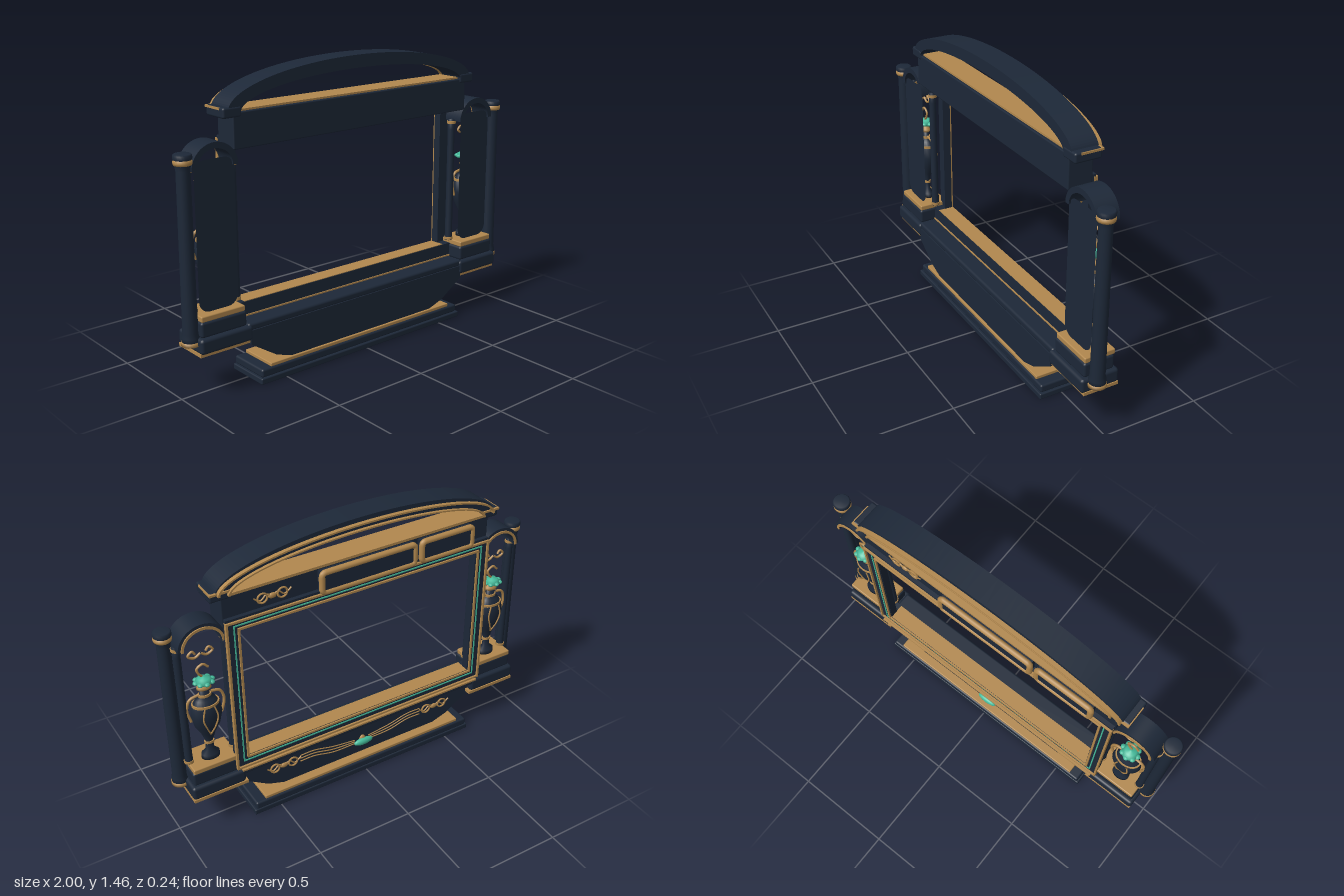
import * as THREE from 'three';
import { RoundedBoxGeometry } from 'three/addons/geometries/RoundedBoxGeometry.js';

const navy = new THREE.MeshStandardMaterial({ color: 0x1d2838 });
navy.name = 'navy';
const gold = new THREE.MeshStandardMaterial({ color: 0xb2884e });
gold.name = 'gold';
const teal = new THREE.MeshStandardMaterial({ color: 0x45bb9b });
teal.name = 'teal';

const V = (x, y, z) => new THREE.Vector3(x, y, z);

function add(parent, name, geo, mat, x = 0, y = 0, z = 0) {
  const mesh = new THREE.Mesh(geo, mat);
  mesh.name = name;
  mesh.position.set(x, y, z);
  parent.add(mesh);
  return mesh;
}

// Box from its limits, with optional rounded edges
function box(parent, name, mat, x0, x1, y0, y1, z0, z1, r = 0) {
  const size = [x1 - x0, y1 - y0, z1 - z0];
  const geo = r ? new RoundedBoxGeometry(...size, 2, r) : new THREE.BoxGeometry(...size);
  return add(parent, name, geo, mat, (x0 + x1) / 2, (y0 + y1) / 2, (z0 + z1) / 2);
}

function roundedRect(path, x0, x1, y0, y1, r) {
  path.moveTo(x0 + r, y0);
  path.lineTo(x1 - r, y0);
  path.absarc(x1 - r, y0 + r, r, -Math.PI / 2, 0);
  path.absarc(x1 - r, y1 - r, r, 0, Math.PI / 2);
  path.absarc(x0 + r, y1 - r, r, Math.PI / 2, Math.PI);
  path.absarc(x0 + r, y0 + r, r, Math.PI, Math.PI * 1.5);
  return path;
}

function extrude(parent, name, mat, shape, z0, z1) {
  const geo = new THREE.ExtrudeGeometry(shape, { depth: z1 - z0, bevelEnabled: false, curveSegments: 32 });
  return add(parent, name, geo, mat, 0, 0, z0);
}

// Rectangular ring of width w
function ring(parent, name, mat, x0, x1, y0, y1, w, z0, z1) {
  const s = roundedRect(new THREE.Shape(), x0, x1, y0, y1, 0.001);
  s.holes.push(roundedRect(new THREE.Path(), x0 + w, x1 - w, y0 + w, y1 - w, 0.001));
  extrude(parent, name, mat, s, z0, z1);
}

// Half-elliptical band between two ellipses
function band(parent, name, mat, cx, outer, inner, z0, z1) {
  const s = new THREE.Shape();
  s.absellipse(cx, outer[2], outer[0], outer[1], 0, Math.PI, false);
  s.lineTo(cx - inner[0], inner[2]);
  s.absellipse(cx, inner[2], inner[0], inner[1], Math.PI, 0, true);
  extrude(parent, name, mat, s, z0, z1);
}

function tube(parent, name, points, r = 0.004, closed = false) {
  const curve = new THREE.CatmullRomCurve3(points, closed, 'centripetal');
  add(parent, name, new THREE.TubeGeometry(curve, closed ? 160 : 24, r, closed ? 10 : 6, closed), gold);
}

// Turned part; depth flattens it front to back
function lathe(parent, name, mat, pts, x, z, depth = 1) {
  const geo = new THREE.LatheGeometry(pts.map(p => new THREE.Vector2(p[0], p[1])), 24);
  add(parent, name, geo, mat, x, 0, z).scale.z = depth;
}

// Knot of two loops and tendrils
function knot(parent, x, y, z) {
  for (const s of [-1, 1]) {
    add(parent, 'knotLoop', new THREE.TorusGeometry(0.024, 0.005, 6, 18), gold, x + s * 0.05, y, z);
    tube(parent, 'knotTendril', [V(x, y, z), V(x + s * 0.03, y + 0.012, z), V(x + s * 0.06, y - 0.01, z), V(x + s * 0.095, y + 0.012, z)]);
  }
  add(parent, 'knotBud', new THREE.SphereGeometry(0.014, 10, 8), gold, x, y, z).scale.set(1.6, 1, 0.6);
}

function sideNiche(s) {
  const g = new THREE.Group();
  g.name = s > 0 ? 'leftNiche' : 'rightNiche';
  const sbox = (name, mat, x0, x1, ...rest) => box(g, name, mat, Math.min(s * x0, s * x1), Math.max(s * x0, s * x1), ...rest);
  const cx = s * 0.81;

  // Stepped pedestal
  sbox('pedestalSole', gold, 0.66, 0.943, 0.212, 0.228, -0.097, 0.085);
  sbox('pedestalBase', navy, 0.67, 0.945, 0.226, 0.298, -0.098, 0.1, 0.015);
  sbox('pedestalBlock', navy, 0.69, 0.93, 0.296, 0.37, -0.08, 0.08, 0.012);
  sbox('pedestalCap', gold, 0.695, 0.925, 0.368, 0.396, -0.085, 0.075, 0.006);

  // Outer column
  const X = s * 0.957, Z = 0.028;
  lathe(g, 'column', navy, [[0, 0.265], [0.04, 0.265], [0.04, 0.3], [0.035, 0.32], [0.031, 1.05], [0.036, 1.08], [0.04, 1.1], [0.042, 1.105], [0.042, 1.12], [0.036, 1.126], [0, 1.126]], X, Z);
  lathe(g, 'columnFootRing', gold, [[0, 0.262], [0.043, 0.262], [0.043, 0.28], [0.03, 0.284]], X, Z);
  lathe(g, 'columnTopRing', gold, [[0.03, 1.074], [0.04, 1.078], [0.043, 1.088], [0.04, 1.102], [0.03, 1.104]], X, Z);

  // Slim inner columns
  for (const x of [0.688, 0.917]) {
    lathe(g, 'slimColumn', navy, [[0.022, 0.395], [0.019, 0.43], [0.018, 1.0], [0.02, 1.055], [0, 1.055]], s * x, -0.01);
    for (const y of [0.405, 1.038]) add(g, 'slimColumnRing', new THREE.CylinderGeometry(0.024, 0.024, 0.014, 20), gold, s * x, y, -0.01);
  }

  // Front-facing panel and arched hood
  const panel = roundedRect(new THREE.Shape(), cx - 0.103, cx + 0.103, 0.398, 1.085, 0.055);
  add(g, 'panel', new THREE.ShapeGeometry(panel, 12), navy, 0, 0, 0.04);
  band(g, 'hood', navy, cx, [0.118, 0.113, 1.045], [0.092, 0.085, 1.045], -0.062, 0.05);
  band(g, 'hoodTrim', gold, cx, [0.104, 0.098, 1.045], [0.092, 0.086, 1.045], -0.068, -0.062);

  // Round-bodied vase, flattened to fit the niche
  const vz = -0.02, flat = 0.72;
  lathe(g, 'vase', navy, [[0, 0.396], [0.045, 0.396], [0.045, 0.42], [0.022, 0.44], [0.018, 0.49], [0.035, 0.54], [0.062, 0.59], [0.076, 0.65], [0.07, 0.7], [0.048, 0.738], [0.025, 0.755], [0.024, 0.79], [0, 0.79]], cx, vz, flat);
  for (const [y, r] of [[0.485, 0.025], [0.712, 0.067], [0.758, 0.032]])
    add(g, 'vaseBand', new THREE.CylinderGeometry(r, r, 0.012, 20), gold, cx, y, vz).scale.z = flat;
  lathe(g, 'vaseNeck', gold, [[0.02, 0.785], [0.036, 0.795], [0.034, 0.805], [0.02, 0.825], [0, 0.828]], cx, vz, flat);

  // Teal blossom of pointed petals
  lathe(g, 'blossomCup', teal, [[0, 0.818], [0.024, 0.822], [0.044, 0.84], [0.025, 0.855], [0, 0.862]], cx, vz - 0.008);
  for (let i = 0; i < 8; i++) {
    const a = i * Math.PI / 4;
    const petal = add(g, 'blossomPetal', new THREE.SphereGeometry(0.014, 8, 6), teal, cx + Math.cos(a) * 0.04, 0.838, vz - 0.008 + Math.sin(a) * 0.036);
    petal.scale.set(1, 0.7, 1);
  }
  for (const t of [-1, 1]) {
    tube(g, 'vaseHandle', [V(cx + t * 0.03, 0.765, vz), V(cx + t * 0.075, 0.752, vz), V(cx + t * 0.093, 0.7, vz), V(cx + t * 0.077, 0.63, vz)], 0.007);
    tube(g, 'vaseRib', [V(cx, 0.545, vz - 0.03), V(cx + t * 0.022, 0.6, vz - 0.047), V(cx + t * 0.036, 0.65, vz - 0.05), V(cx + t * 0.024, 0.71, vz - 0.047)]);
    tube(g, 'hangingScroll', [V(cx, 0.985, vz), V(cx + t * 0.03, 0.968, vz), V(cx + t * 0.06, 0.985, vz), V(cx + t * 0.04, 1.005, vz), V(cx + t * 0.026, 0.988, vz)], 0.006);
  }
  tube(g, 'finialHook', [V(cx, 0.855, vz), V(cx + 0.02, 0.88, vz), V(cx + 0.025, 0.905, vz), V(cx - 0.005, 0.922, vz), V(cx - 0.03, 0.9, vz)], 0.006);
  return g;
}

export function createModel() {
  const model = new THREE.Group();
  model.name = 'ornateFrame';

  // Plinth
  box(model, 'plinthFoot', navy, -0.645, 0.645, 0, 0.03, -0.115, 0.12, 0.006);
  box(model, 'plinthStep', navy, -0.635, 0.635, 0.028, 0.069, -0.113, 0.11, 0.01);
  box(model, 'plinthTrim', gold, -0.58, 0.58, 0.068, 0.086, -0.105, 0.103, 0.004);

  // Tapered apron
  const apron = new THREE.Shape([[-0.45, 0.085], [0.45, 0.085], [0.54, 0.115], [0.68, 0.205], [0.68, 0.272], [-0.68, 0.272], [-0.68, 0.205], [-0.54, 0.115]].map(p => new THREE.Vector2(...p)));
  extrude(model, 'apron', navy, apron, -0.06, 0.093);

  // Apron garland and gem
  const az = -0.064;
  for (const s of [-1, 1]) {
    knot(model, s * 0.45, 0.2, az);
    for (const d of [-0.018, 0, 0.018])
      tube(model, 'garlandStrand', [V(s * 0.36, 0.2 + d, az), V(s * 0.28, 0.2 + d, az), V(s * 0.17, 0.175 + d, az), V(s * 0.04, 0.165 + d * 0.6, az)], 0.003);
  }
  add(model, 'gemMount', new THREE.SphereGeometry(1, 16, 10), gold, 0, 0.168, -0.072).scale.set(0.02, 0.034, 0.012);
  add(model, 'apronGem', new THREE.SphereGeometry(1, 20, 12), teal, 0, 0.168, -0.082).scale.set(0.055, 0.02, 0.016);

  // Ledge and bottom rail below the opening
  box(model, 'ledge', navy, -0.69, 0.69, 0.268, 0.304, -0.095, 0.09, 0.012);
  box(model, 'ledgeTrim', gold, -0.69, 0.69, 0.302, 0.311, -0.11, 0.0);
  box(model, 'bottomRail', navy, -0.7, 0.7, 0.31, 0.374, -0.087, -0.005);
  box(model, 'railTop', gold, -0.642, 0.642, 0.372, 0.377, -0.087, -0.008);

  // Main frame with mouldings
  ring(model, 'mainFrame', navy, -0.71, 0.71, 0.308, 1.152, 0.067, -0.088, -0.055);
  ring(model, 'outerMoulding', gold, -0.712, 0.712, 0.311, 1.14, 0.01, -0.098, -0.078);
  ring(model, 'tealInlay', teal, -0.674, 0.674, 0.345, 1.116, 0.006, -0.092, -0.087);
  ring(model, 'innerMoulding', gold, -0.655, 0.655, 0.364, 1.099, 0.01, -0.096, -0.085);
  ring(model, 'innerLip', navy, -0.65, 0.65, 0.366, 1.12, 0.01, -0.085, -0.045);

  // Header with two bullnose-framed plaques and a knot
  box(model, 'header', navy, -0.715, 0.715, 1.108, 1.272, -0.068, 0.055, 0.006);
  box(model, 'headerTop', gold, -0.68, 0.68, 1.268, 1.281, -0.085, 0.042);
  for (const [x0, x1] of [[-0.28, 0.25], [-0.61, -0.29]]) {
    box(model, 'plaque', navy, x0 + 0.012, x1 - 0.012, 1.147, 1.253, -0.109, -0.06);
    const path = roundedRect(new THREE.Path(), x0 + 0.015, x1 - 0.015, 1.15, 1.25, 0.018);
    const points = path.getPoints(6).slice(0, -1).map(p => V(p.x, p.y, -0.102));
    tube(model, 'plaqueFrame', points.filter((p, i) => !i || p.distanceTo(points[i - 1]) > 1e-4), 0.015, true);
  }
  knot(model, 0.47, 1.2, -0.074);

  // Curved pediment
  band(model, 'pediment', navy, 0, [0.74, 0.178, 1.28], [0.675, 0.127, 1.27], -0.075, 0.057);
  band(model, 'pedimentOuterTrim', gold, 0, [0.734, 0.152, 1.283], [0.724, 0.145, 1.281], -0.095, -0.074);
  band(model, 'pedimentInnerTrim', gold, 0, [0.684, 0.131, 1.27], [0.673, 0.123, 1.27], -0.09, -0.07);
  for (const s of [-1, 1]) {
    const m = s * 0.72;
    box(model, 'pedimentFoot', navy, m - 0.048, m + 0.048, 1.25, 1.298, -0.075, 0.06, 0.01);
    box(model, 'pedimentFootTrim', gold, m - 0.049, m + 0.049, 1.286, 1.296, -0.082, 0.03);
  }

  // Side niches
  model.add(sideNiche(1), sideNiche(-1));
  return model;
}
